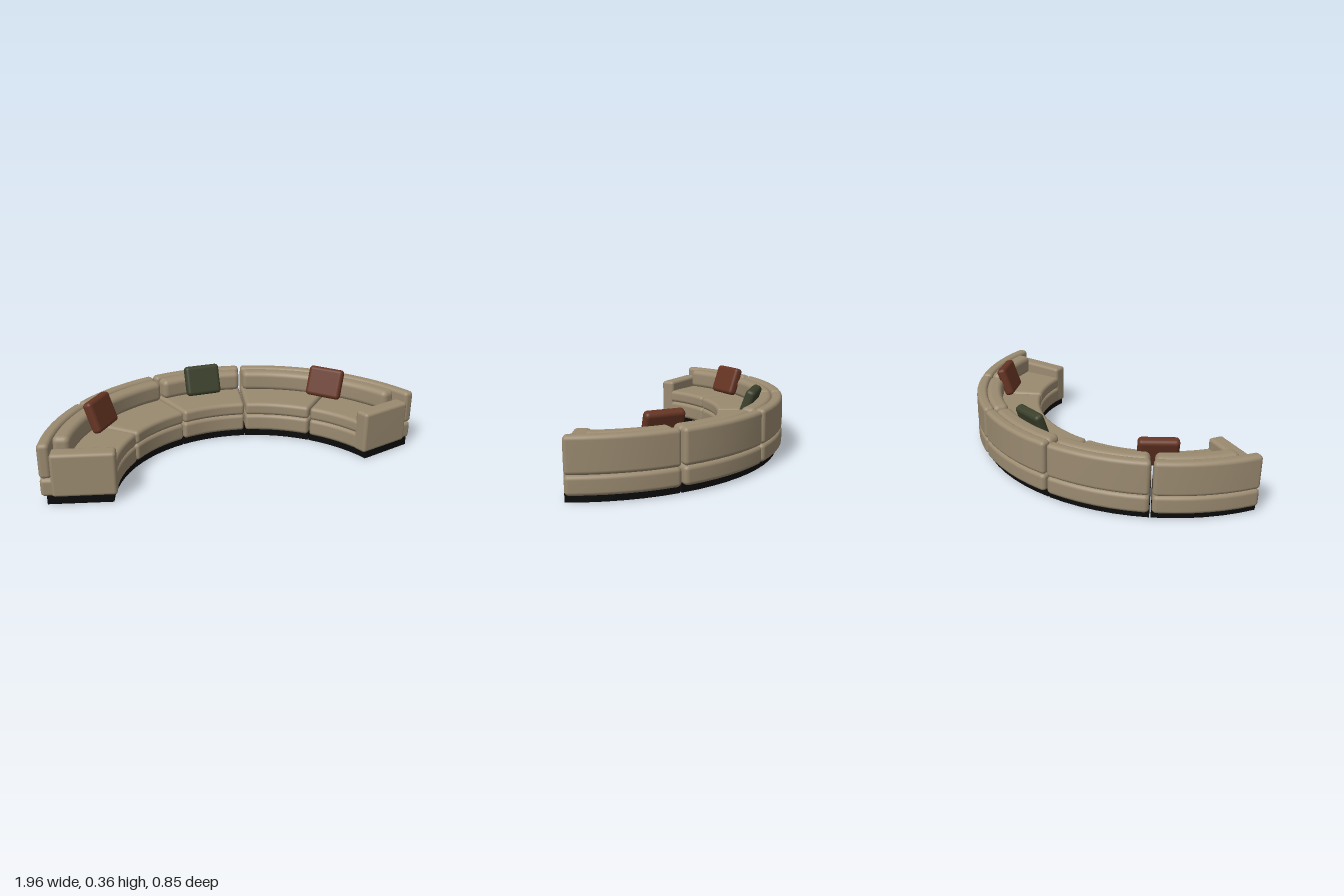
import * as THREE from 'three';
import { mergeVertices } from 'three/addons/utils/BufferGeometryUtils.js';

const DEG = Math.PI / 180;
const CENTRE_Z = 0.594;   // centre of the sofa's arc
const SECTION = 30;       // degrees per section
const CORNER = 4;         // rounding steps per edge

const mat = (color) => new THREE.MeshStandardMaterial({ color });

// Box with rounded edges, its flat middle split into `mid` steps along x
function softBox(w, h, d, rad, mid = 1) {
  const size = [w, h, d];
  const segs = [mid, 1, 1].map((m) => m + 2 * CORNER);
  const geo = new THREE.BoxGeometry(1, 1, 1, ...segs);
  const pos = geo.attributes.position;
  const p = new THREE.Vector3(), core = new THREE.Vector3();
  for (let i = 0; i < pos.count; i++) {
    p.fromBufferAttribute(pos, i);
    for (let k = 0; k < 3; k++) {
      const n = segs[k], half = size[k] / 2;
      const step = Math.round((p.getComponent(k) + 0.5) * n);
      const flat = 2 * (half - rad);
      // bunch the grid lines into the rounded edges
      let v;
      if (step <= CORNER) v = -half + rad * (1 - Math.tan((1 - step / CORNER) * Math.PI / 4));
      else if (step >= n - CORNER) v = half - rad * (1 - Math.tan((1 - (n - step) / CORNER) * Math.PI / 4));
      else v = -flat / 2 + flat * (step - CORNER) / (n - 2 * CORNER);
      if (step === 0) v = -half;
      else if (step < CORNER) v = -half + rad - rad * Math.tan((1 - step / CORNER) * Math.PI / 4);
      else if (step === n) v = half;
      p.setComponent(k, v);
      core.setComponent(k, THREE.MathUtils.clamp(v, -half + rad, half - rad));
    }
    p.sub(core).setLength(rad).add(core);
    pos.setXYZ(i, p.x, p.y, p.z);
  }
  return smooth(geo);
}

function smooth(geo) {
  geo.deleteAttribute('normal');
  geo.deleteAttribute('uv');
  const merged = mergeVertices(geo, 1e-5);
  merged.computeVertexNormals();
  return merged;
}

// Soft box bent round the arc: radii r0..r1, heights y0..y1, angles a0..a1 in degrees
function sector(r0, r1, y0, y1, a0, a1, rad) {
  const rm = (r0 + r1) / 2, am = (a0 + a1) / 2 * DEG;
  const geo = softBox((a1 - a0) * DEG * rm, y1 - y0, r1 - r0, rad, 6);
  const pos = geo.attributes.position;
  for (let i = 0; i < pos.count; i++) {
    const a = am + pos.getX(i) / rm, r = rm - pos.getZ(i);
    pos.setXYZ(i, r * Math.sin(a), pos.getY(i) + (y0 + y1) / 2, -r * Math.cos(a));
  }
  geo.computeVertexNormals();
  return geo;
}

export function createModel() {
  const root = new THREE.Group();
  root.name = 'curvedSofa';
  const sofa = new THREE.Group();
  sofa.name = 'sofaArc';
  sofa.position.z = CENTRE_Z;
  root.add(sofa);

  const fabric = mat(0x9a8a70), plinthMat = mat(0x0b0b0b);
  const rust = mat(0x653423), olive = mat(0x3b402b);

  const add = (parent, name, geo, material) => {
    const mesh = new THREE.Mesh(geo, material);
    mesh.name = name;
    parent.add(mesh);
    return mesh;
  };

  // Frame facing the arc's centre at a given angle
  const station = (name, angle) => {
    const g = new THREE.Group();
    g.name = name;
    g.rotation.y = -angle * DEG;
    sofa.add(g);
    return g;
  };

  // Five sections, the outer two shortened where the arms stand
  for (let i = -2; i <= 2; i++) {
    const section = new THREE.Group();
    section.name = 'section' + (i + 3);
    sofa.add(section);
    const a0 = (i - 0.5) * SECTION, a1 = (i + 0.5) * SECTION;
    const gap = 0.35;
    const s0 = i === -2 ? a0 + 4.9 : a0 + gap;
    const s1 = i === 2 ? a1 - 4.9 : a1 - gap;
    add(section, 'plinth', sector(0.685, 0.99, 0, 0.045, a0 + 0.2, a1 - 0.2, 0.002), plinthMat);
    add(section, 'lowerBody', sector(0.67, 1.02, 0.035, 0.127, a0 + gap, a1 - gap, 0.02), fabric);
    add(section, 'backShell', sector(0.962, 1.02, 0.127, 0.3, a0 + gap, a1 - gap, 0.02), fabric);
    add(section, 'seatCushion', sector(0.668, 0.965, 0.127, 0.196, s0, s1, 0.02), fabric);
    add(section, 'backCushion', sector(0.882, 0.966, 0.19, 0.298, s0 + 0.3, s1 - 0.3, 0.028), fabric);
  }

  // Arms at both ends
  for (const side of [-1, 1]) {
    const end = station(side > 0 ? 'leftEnd' : 'rightEnd', side * 75);
    const arm = add(end, 'arm', softBox(0.08, 0.217, 0.3, 0.017), fabric);
    arm.position.set(-side * 0.037, 0.1435, -0.817);
  }

  // Loose pillows leaning on the back
  const pillowGeo = softBox(0.195, 0.163, 0.052, 0.02);
  for (const [name, angle, turn, material] of [
    ['rightPillow', -46.5, -3, rust], ['middlePillow', 0, 0, olive], ['leftPillow', 46.5, 3, rust],
  ]) {
    const pillow = add(station(name + 'Place', angle), name, pillowGeo, material);
    pillow.position.set(0, 0.281, -0.862);
    pillow.rotation.order = 'YXZ';
    pillow.rotation.set(-20 * DEG, -turn * DEG, 0);
  }
  return root;
}
